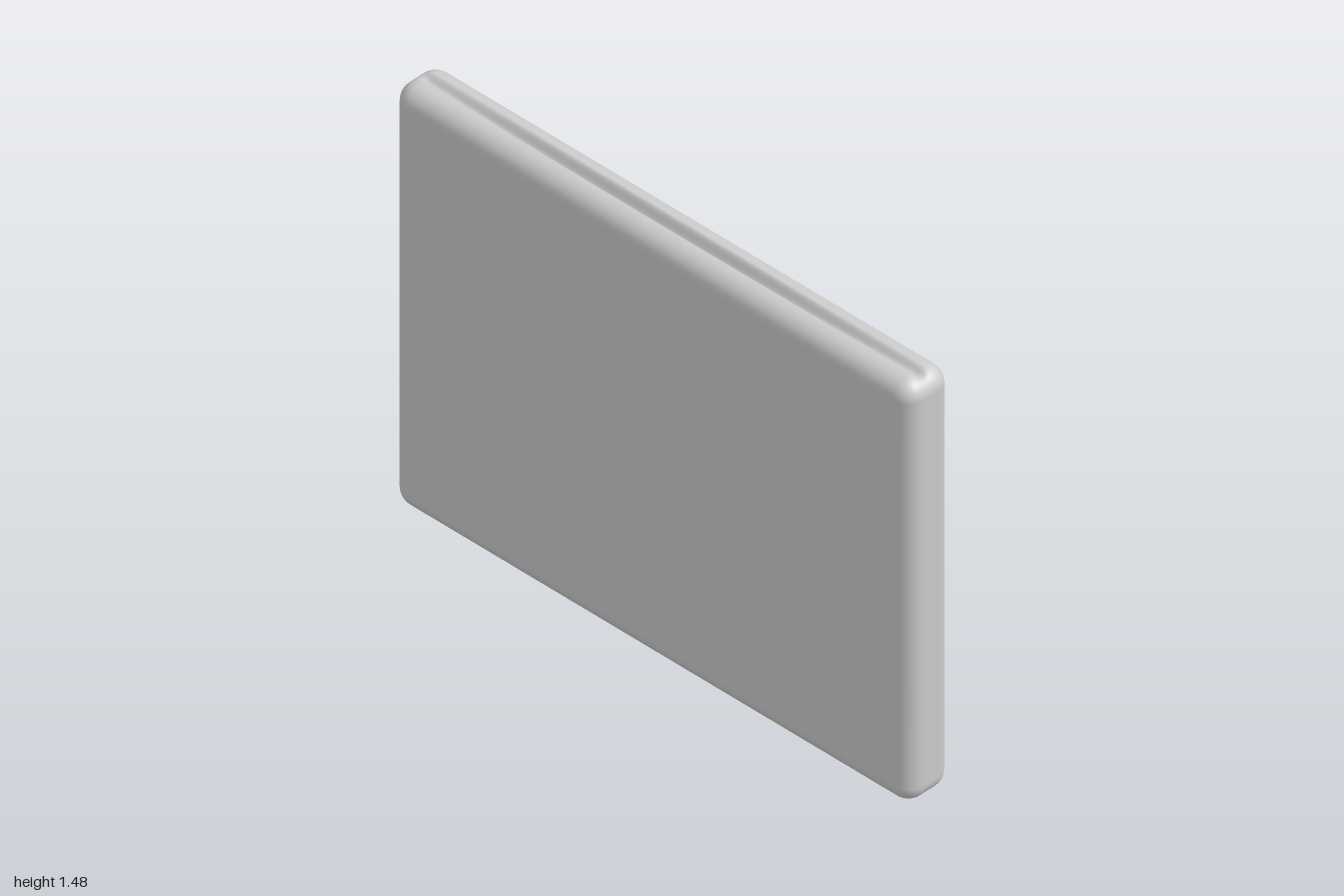
import * as THREE from 'three';
import { mergeVertices } from 'three/addons/utils/BufferGeometryUtils.js';

const clamp = THREE.MathUtils.clamp;
const smooth = THREE.MathUtils.smoothstep;
const AXES = ['x', 'y', 'z'];

// Coordinates along one axis: fine steps in the rounded ends, extra stops between
function axisStops(half, r, extra) {
  const stops = [...extra];
  for (let i = 0; i <= 6; i++) {
    const c = half - r + r * Math.tan((i / 6) * Math.PI / 4);
    stops.push(c, -c);
  }
  return stops.sort((a, b) => a - b);
}

// Rounded slab centred on the origin; press(p, q) dents it where wanted
function softSlab(size, r, extra, press) {
  const stops = AXES.map((a, i) => axisStops(size[i] / 2, r, extra[i]));
  const n = stops.map((s) => s.length - 1);
  let geo = new THREE.BoxGeometry(1, 1, 1, ...n);
  const pos = geo.attributes.position;
  const p = new THREE.Vector3(), q = new THREE.Vector3();
  for (let i = 0; i < pos.count; i++) {
    p.fromBufferAttribute(pos, i);
    AXES.forEach((a, k) => {
      p[a] = stops[k][Math.round((p[a] + 0.5) * n[k])];
      const inner = size[k] / 2 - r;
      q[a] = clamp(p[a], -inner, inner);
    });
    p.sub(q).setLength(r).add(q);
    press(p);
    pos.setXYZ(i, p.x, p.y, p.z);
  }
  geo.deleteAttribute('uv');
  geo.deleteAttribute('normal');
  geo = mergeVertices(geo, 1e-5);
  geo.computeVertexNormals();
  return geo;
}

// Evenly spread stops around a centre
const spread = (centre, half, count) =>
  Array.from({ length: count }, (_, i) => centre + half * ((2 * i) / (count - 1) - 1));

export function createModel() {
  const group = new THREE.Group();
  const material = new THREE.MeshStandardMaterial({ color: 0xcccccc });
  const add = (name, geo, x, y) => {
    const mesh = new THREE.Mesh(geo, material);
    mesh.name = name;
    mesh.position.set(x, y, 0);
    group.add(mesh);
  };

  // Sleeve body with an opening groove running along its top edge
  const bodyH = 1.475;
  add('sleeveBody', softSlab([0.177, bodyH, 2], 0.06,
    [spread(0, 0.025, 11), [], spread(0, 0.9, 19)],
    (p) => {
      if (p.y < bodyH / 2 - 0.06) return;
      const dip = 1 - smooth(Math.abs(p.x), 0, 0.026);
      const along = 1 - smooth(Math.abs(p.z), 0.94, 0.985);
      p.y -= dip * along * (0.014 + 0.02 * (1 - p.z * p.z));
    }), -0.0145, bodyH / 2);

  // Raised pocket on the side, with a narrow slit near its top
  const pocketH = 1.33, pocketY = 0.7425, slitY = 1.203 - pocketY;
  add('sidePocket', softSlab([0.1, pocketH, 1.816], 0.042,
    [[], spread(slitY, 0.014, 9), [...spread(-0.8, 0.025, 5), ...spread(0.8, 0.025, 5)]],
    (p) => {
      if (p.x < 0.045) return;
      const dip = 1 - smooth(Math.abs(p.y - slitY), 0, 0.012);
      p.x -= 0.013 * dip * (1 - smooth(Math.abs(p.z), 0.785, 0.822));
    }), 0.053, pocketY);

  return group;
}
